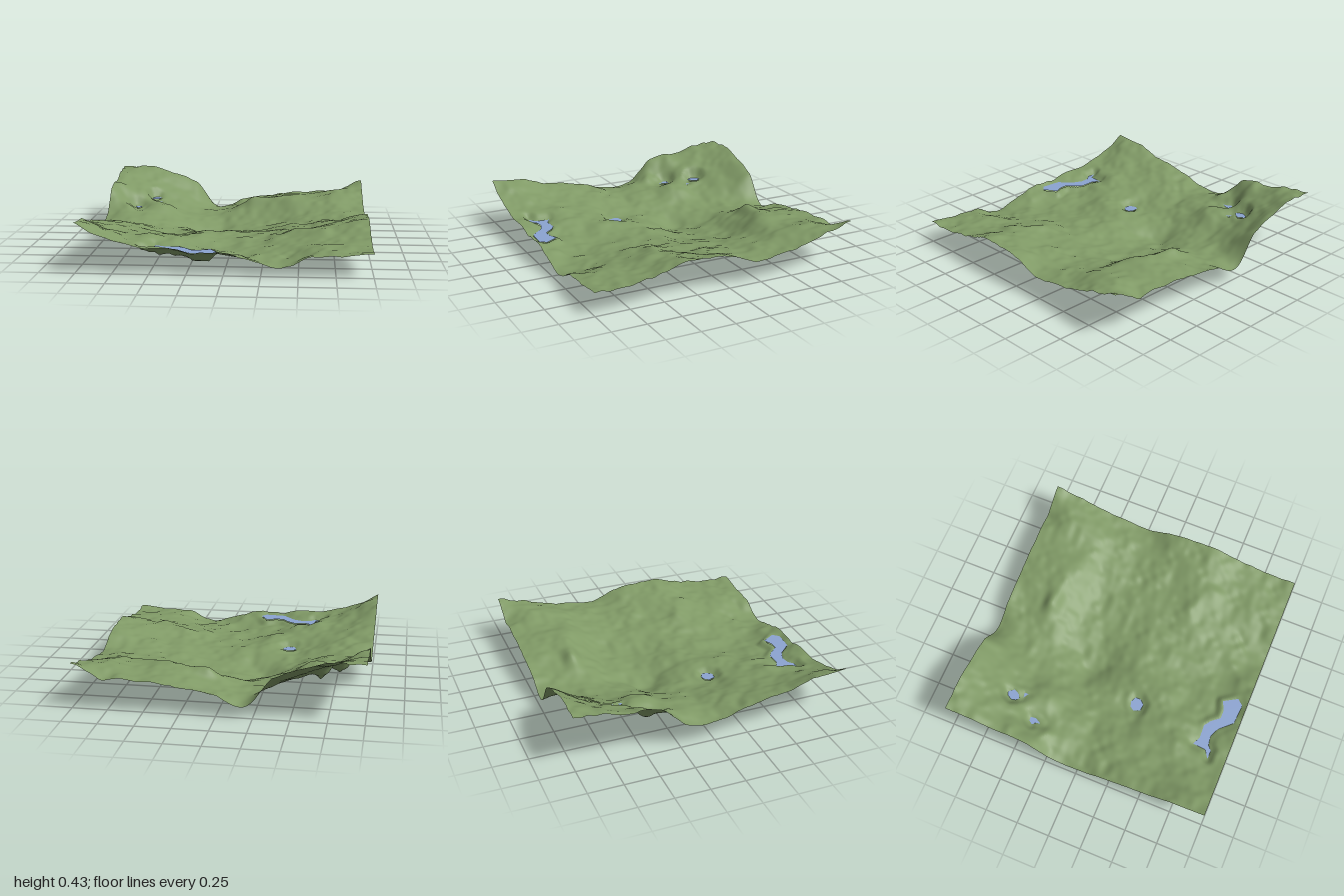
import * as THREE from 'three';

// Coarse terrain heights in hundredths: rows run back to front, columns run along +x, 0.2 apart
const GRID = [
  [42, 42, 37, 30, 8, 14, 17, 21, 22, 22, 31],
  [39, 35, 27, 18, 10, 13, 19, 22, 23, 27, 27],
  [35, 29, 20, 13, 9, 13, 17, 23, 22, 23, 20],
  [33, 19, 20, 11, 5, 6, 8, 12, 16, 18, 16],
  [17, 18, 14, 8, 0, 4, 6, 10, 14, 16, 15],
  [14, 15, 12, 9, 8, 8, 9, 12, 15, 18, 22],
  [19, 18, 13, 9, 13, 11, 11, 13, 16, 21, 25],
  [24, 20, 16, 13, 13, 9, 10, 14, 19, 21, 24],
  [27, 21, 18, 16, 10, 8, 9, 12, 15, 16, 18],
  [32, 24, 18, 13, 11, 9, 8, 8, 14, 15, 15],
  [33, 24, 18, 17, 15, 14, 10, 6, 13, 14, 16],
];

// Local knolls: x, z, x radius, z radius, height
const KNOLLS = [
  [0.12, -0.67, 0.14, 0.06, 0.055],
  [0.52, 0.33, 0.1, 0.06, 0.02],
  [-0.9, -0.52, 0.07, 0.05, 0.03],
  [-0.85, -0.29, 0.06, 0.05, 0.03],
  [-0.55, 0.6, 0.06, 0.06, 0.02],
];

// Water outlines as [x, z] points with a surface level
const LAKES = [
  { name: 'longLake', level: 0.13, pts: [[-0.56, 0.87], [-0.5, 0.83], [-0.49, 0.73], [-0.43, 0.76],
    [-0.33, 0.755], [-0.28, 0.79], [-0.23, 0.85], [-0.17, 0.85], [-0.1, 0.82], [-0.04, 0.92],
    [-0.08, 0.965], [-0.23, 0.955], [-0.32, 0.86], [-0.39, 0.83], [-0.46, 0.84], [-0.49, 0.87]] },
  { name: 'roundPond', level: 0.085, pts: [[-0.41, 0.22], [-0.39, 0.19], [-0.35, 0.18], [-0.31, 0.2],
    [-0.31, 0.24], [-0.34, 0.275], [-0.39, 0.27]] },
  { name: 'upperTarn', level: 0.207, pts: [[-0.71, -0.63], [-0.69, -0.67], [-0.66, -0.68],
    [-0.63, -0.64], [-0.65, -0.6], [-0.68, -0.58], [-0.7, -0.6]] },
  { name: 'smallTarn', level: 0.19, pts: [[-0.66, -0.56], [-0.62, -0.565], [-0.62, -0.535]] },
  { name: 'lowerTarn', level: 0.175, pts: [[-0.82, -0.42], [-0.8, -0.45], [-0.77, -0.45],
    [-0.765, -0.41], [-0.79, -0.365], [-0.8, -0.4]] },
];

const clamp = THREE.MathUtils.clamp;
const cell = (r, c) => GRID[clamp(r, 0, 10)][clamp(c, 0, 10)] / 100;

function cubic(a, b, c, d, t) {
  return b + 0.5 * t * (c - a + t * (2 * a - 5 * b + 4 * c - d + t * (3 * (b - c) + d - a)));
}

function baseHeight(x, z) {
  const u = (x + 1) * 5, v = (z + 1) * 5;
  const c = Math.min(9, Math.floor(u)), r = Math.min(9, Math.floor(v));
  const row = (k) => cubic(cell(k, c - 1), cell(k, c), cell(k, c + 1), cell(k, c + 2), u - c);
  let h = cubic(row(r - 1), row(r), row(r + 1), row(r + 2), v - r);
  for (const [kx, kz, rx, rz, up] of KNOLLS) {
    h += up * Math.exp(-(((x - kx) / rx) ** 2) - ((z - kz) / rz) ** 2);
  }
  return h;
}

// Seeded value noise for the small folds in the land
function hash(i, j) {
  const s = Math.sin(i * 127.1 + j * 311.7 + 4.3) * 43758.5453;
  return s - Math.floor(s);
}
function noise(x, z) {
  const i = Math.floor(x), j = Math.floor(z);
  const f = THREE.MathUtils.smoothstep(x - i, 0, 1), g = THREE.MathUtils.smoothstep(z - j, 0, 1);
  const a = THREE.MathUtils.lerp(hash(i, j), hash(i + 1, j), f);
  const b = THREE.MathUtils.lerp(hash(i, j + 1), hash(i + 1, j + 1), f);
  return THREE.MathUtils.lerp(a, b, g) - 0.5;
}

// Signed distance to an outline, negative inside
function signedDistance(x, z, pts) {
  let best = Infinity, inside = false;
  pts.forEach(([ax, az], i) => {
    const [bx, bz] = pts[(i + 1) % pts.length];
    const ex = bx - ax, ez = bz - az;
    const t = clamp(((x - ax) * ex + (z - az) * ez) / (ex * ex + ez * ez), 0, 1);
    best = Math.min(best, Math.hypot(x - ax - ex * t, z - az - ez * t));
    if ((az > z) !== (bz > z) && x < ax + (ex * (z - az)) / ez) inside = !inside;
  });
  return inside ? -best : best;
}

function landHeight(x, z) {
  let h = baseHeight(x, z) + 0.022 * noise(x * 9, z * 9) + 0.012 * noise(x * 19 + 7, z * 19);
  // Shape a bed and shore around each lake
  for (const lake of LAKES) {
    const d = signedDistance(x, z, lake.pts);
    if (d > 0.06) continue;
    const shore = lake.level + (d < 0 ? Math.max(d, -0.05) * 1.2 : d * 0.2);
    h = THREE.MathUtils.lerp(shore, h, THREE.MathUtils.smoothstep(d, 0, 0.06));
  }
  return h;
}

export function createModel() {
  const model = new THREE.Group();
  model.name = 'terrain';
  const grass = new THREE.MeshStandardMaterial({ color: 0x809a66, side: THREE.DoubleSide });
  grass.name = 'grass green';
  const water = new THREE.MeshStandardMaterial({ color: 0x8ca4d2, side: THREE.DoubleSide });
  water.name = 'water blue';

  // Land sheet
  const land = new THREE.PlaneGeometry(2, 2, 140, 140).rotateX(-Math.PI / 2);
  const p = land.attributes.position;
  let low = Infinity;
  for (let i = 0; i < p.count; i++) {
    const y = landHeight(p.getX(i), p.getZ(i));
    p.setY(i, y);
    low = Math.min(low, y);
  }
  land.translate(0, -low, 0);
  land.computeVertexNormals();
  const landMesh = new THREE.Mesh(land, grass);
  landMesh.name = 'land';
  model.add(landMesh);

  // Flat water surfaces
  for (const { name, level, pts } of LAKES) {
    const shape = new THREE.Shape(pts.map(([x, z]) => new THREE.Vector2(x, -z)));
    const surface = new THREE.ShapeGeometry(shape).rotateX(-Math.PI / 2);
    const mesh = new THREE.Mesh(surface, water);
    mesh.name = name;
    mesh.position.y = level - low + 0.004;
    model.add(mesh);
  }
  return model;
}
